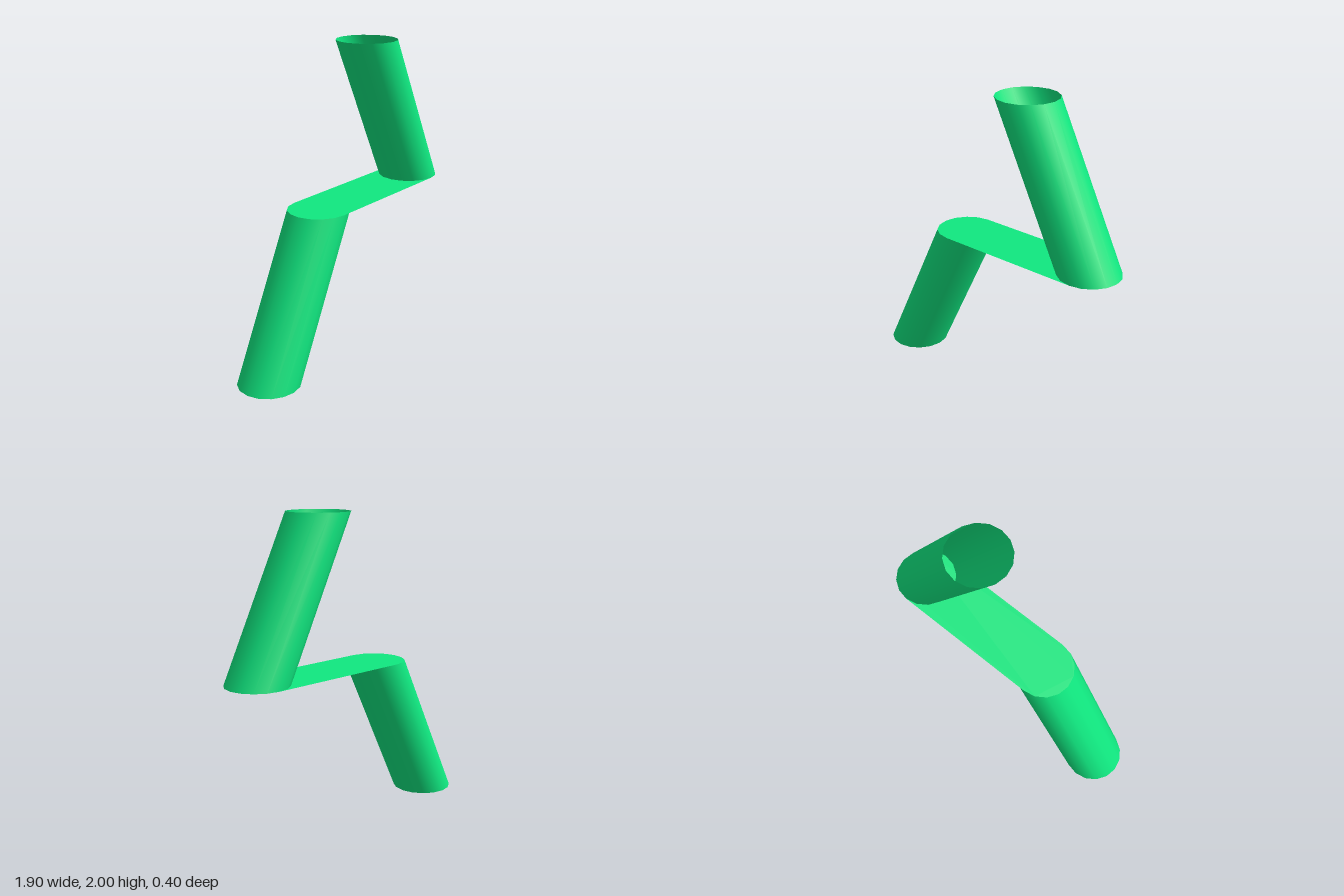
import * as THREE from 'three';

const RADIUS = 0.2;
const SIDES = 16;

export function createModel() {
  const model = new THREE.Group();
  model.name = 'zigzagTube';
  const material = new THREE.MeshStandardMaterial({ color: 0x10e880, side: THREE.DoubleSide });

  // Open slanted tube with level ends, sheared in x by dx per unit of height
  function slantedTube(name, x, y, dx) {
    const geometry = new THREE.CylinderGeometry(RADIUS, RADIUS, 1, SIDES, 1, true);
    geometry.applyMatrix4(new THREE.Matrix4().set(
      1, dx, 0, x,
      0, 1, 0, y,
      0, 0, 1, 0,
      0, 0, 0, 1
    ));
    const mesh = new THREE.Mesh(geometry, material);
    mesh.name = name;
    model.add(mesh);
  }
  slantedTube('lowerTube', -0.5, 0.5, 0.5);
  slantedTube('upperTube', 0.5, 1.5, -0.5);

  // Flat round-ended sheet joining the two tubes
  const outline = new THREE.Shape();
  outline.absarc(0.75, 0, RADIUS, -Math.PI / 2, Math.PI / 2, false);
  outline.absarc(-0.25, 0, RADIUS, Math.PI / 2, Math.PI * 1.5, false);
  const sheet = new THREE.Mesh(
    new THREE.ShapeGeometry(outline, SIDES / 4).rotateX(-Math.PI / 2),
    material
  );
  sheet.name = 'connectingSheet';
  sheet.position.y = 1;
  model.add(sheet);

  return model;
}
